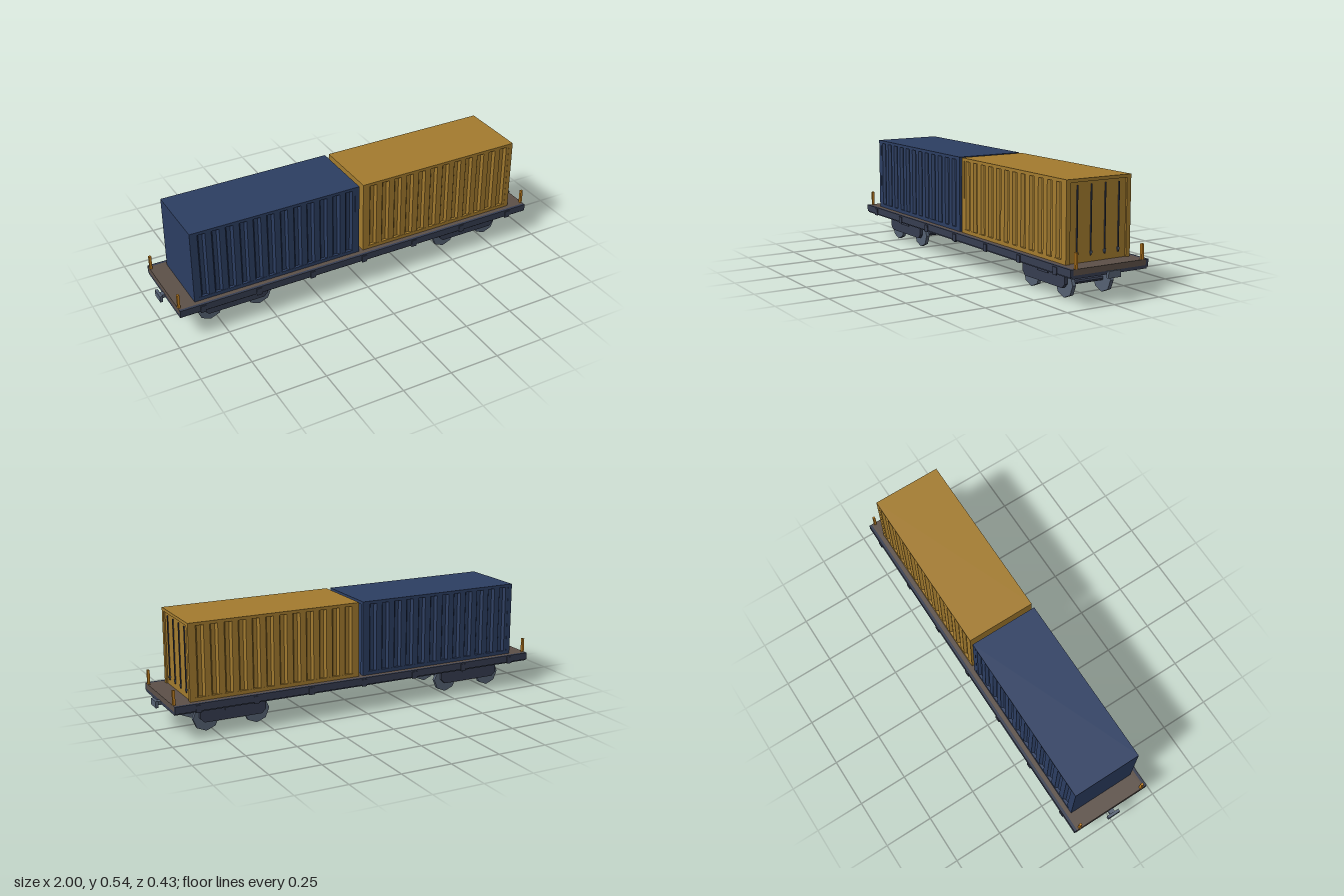
import * as THREE from 'three';

const mat = (name, color) => new THREE.MeshStandardMaterial({ name, color, flatShading: true });

export function createModel() {
  const blue = mat('containerBlue', 0x2c3e62);
  const ochre = mat('containerOchre', 0xa37b2e);
  const sill = mat('frameNavy', 0x363d50);
  const wood = mat('deckBrown', 0x5c5048);
  const steel = mat('wheelSteel', 0x556173);
  const orange = mat('stakeOrange', 0xc28122);

  const model = new THREE.Group();
  model.name = 'containerFlatWagon';

  const add = (parent, name, geometry, material, x = 0, y = 0, z = 0) => {
    const mesh = new THREE.Mesh(geometry, material);
    mesh.name = name;
    mesh.position.set(x, y, z);
    parent.add(mesh);
    return mesh;
  };
  // box given by its lower and upper corners
  const box = (parent, name, material, x0, x1, y0, y1, z0, z1) =>
    add(parent, name, new THREE.BoxGeometry(x1 - x0, y1 - y0, z1 - z0), material,
      (x0 + x1) / 2, (y0 + y1) / 2, (z0 + z1) / 2);
  const group = (name, x = 0) => {
    const g = new THREE.Group();
    g.name = name;
    g.position.x = x;
    model.add(g);
    return g;
  };

  // deck and underframe
  const frame = group('underframe');
  box(frame, 'deck', wood, -0.968, 0.968, 0.145, 0.172, -0.197, 0.197);
  box(frame, 'centreSill', sill, -0.94, 0.94, 0.131, 0.145, -0.045, 0.045);
  for (const s of [-1, 1]) {
    const side = (name, m, x0, x1, y0, y1, z0, z1) =>
      box(frame, name, m, x0, x1, y0, y1, Math.min(s * z0, s * z1), Math.max(s * z0, s * z1));
    side('sideSill', sill, -0.968, 0.968, 0.137, 0.172, 0.197, 0.211);
    side('sideFlange', sill, -0.94, 0.94, 0.13, 0.145, 0.18, 0.203);
    for (let i = -3; i <= 3; i++) {
      side('stakePocket', sill, i * 0.285 - 0.014, i * 0.285 + 0.014, 0.13, 0.165, 0.211, 0.215);
    }
    const xEnd = s * 0.954;
    box(frame, 'endBeam', sill, xEnd - 0.014, xEnd + 0.014, 0.13, 0.145, -0.203, 0.203);
    for (const t of [-1, 1]) {
      box(frame, 'cornerStake', orange, s * 0.962 - 0.006, s * 0.962 + 0.006,
        0.172, 0.243, t * 0.179 - 0.006, t * 0.179 + 0.006);
    }
    // coupler stem and head
    box(frame, 'couplerStem', steel, s * 0.965 - 0.025, s * 0.965 + 0.025, 0.126, 0.144, -0.014, 0.014);
    box(frame, 'couplerHead', steel, s * 0.993 - 0.007, s * 0.993 + 0.007, 0.119, 0.151, -0.033, 0.033);
  }

  // bogies: bolster, two side frames, two wheelsets
  const sideShape = new THREE.Shape([
    [-0.155, 0.118], [-0.165, 0.108], [-0.165, 0.07], [-0.145, 0.05],
    [0.145, 0.05], [0.165, 0.07], [0.165, 0.108], [0.155, 0.118],
  ].reverse().map(([x, y]) => new THREE.Vector2(x, y)));
  const sideGeo = new THREE.ExtrudeGeometry(sideShape, { depth: 0.016, bevelEnabled: false });
  // eight-sided wheel with one corner pointing down
  const wheelGeo = new THREE.CylinderGeometry(0.065, 0.065, 0.018, 8).rotateX(Math.PI / 2);
  const axleGeo = new THREE.CylinderGeometry(0.012, 0.012, 0.2, 8).rotateX(Math.PI / 2);
  for (const s of [-1, 1]) {
    const bogie = group('bogie', s * 0.657);
    box(bogie, 'bolster', sill, -0.042, 0.042, 0.097, 0.135, -0.142, 0.142);
    for (const t of [-1, 1]) {
      add(bogie, 'sideFrame', sideGeo, sill, 0, 0, t * 0.129 - 0.008);
      add(bogie, 'axle', axleGeo, sill, t * 0.128, 0.065, 0);
      for (const w of [-1, 1]) add(bogie, 'wheel', wheelGeo, steel, t * 0.128, 0.065, w * 0.104);
    }
  }

  // container: corrugated walls between rails and posts, doors at the +x end
  const container = (name, cx, m) => {
    const c = group(name, cx);
    const hx = 0.4355, hz = 0.175, post = 0.022;
    const y0 = 0.172, yFloor = 0.19, yRoof = 0.528, yTop = 0.543;
    box(c, 'roof', m, -hx, hx, yRoof, yTop, -hz, hz);
    box(c, 'floorRail', m, -hx + post, hx - post, y0, yFloor, -hz, hz);
    box(c, 'endWall', m, -hx, -hx + post, y0, yRoof, -hz, hz);
    for (const s of [-1, 1]) {
      box(c, 'doorPost', m, hx - post, hx, y0, yRoof, s * 0.164 - 0.011, s * 0.164 + 0.011);
    }
    box(c, 'doors', m, hx - post, hx - 0.008, y0, yRoof, -0.153, 0.153);

    // plan outline of the corrugated body
    const wave = [];
    const ribs = 12, start = -hx + post, pitch = (2 * hx - 2 * post) / ribs;
    for (let i = 0; i < ribs; i++) {
      for (const [f, z] of [[0, 0.174], [0.22, 0.174], [0.36, 0.161], [0.64, 0.161], [0.78, 0.174]]) {
        wave.push(new THREE.Vector2(start + (i + f) * pitch, z));
      }
    }
    wave.push(new THREE.Vector2(hx - post, 0.174));
    const back = wave.map((p) => new THREE.Vector2(p.x, -p.y)).reverse();
    const body = new THREE.ExtrudeGeometry(new THREE.Shape([...wave, ...back]),
      { depth: yRoof - yFloor, bevelEnabled: false }).rotateX(-Math.PI / 2);
    add(c, 'corrugatedWalls', body, m, 0, yFloor, 0);

    // locking bars and handles
    for (const z of [-0.113, -0.038, 0.038, 0.113]) {
      box(c, 'lockingBar', sill, hx - 0.008, hx - 0.003, 0.2, 0.515, z - 0.0025, z + 0.0025);
      box(c, 'doorHandle', steel, hx - 0.008, hx - 0.001, 0.209, 0.22, z - 0.0055, z + 0.0055);
    }
  };
  container('blueContainer', -0.4465, blue);
  container('ochreContainer', 0.4465, ochre);

  return model;
}
